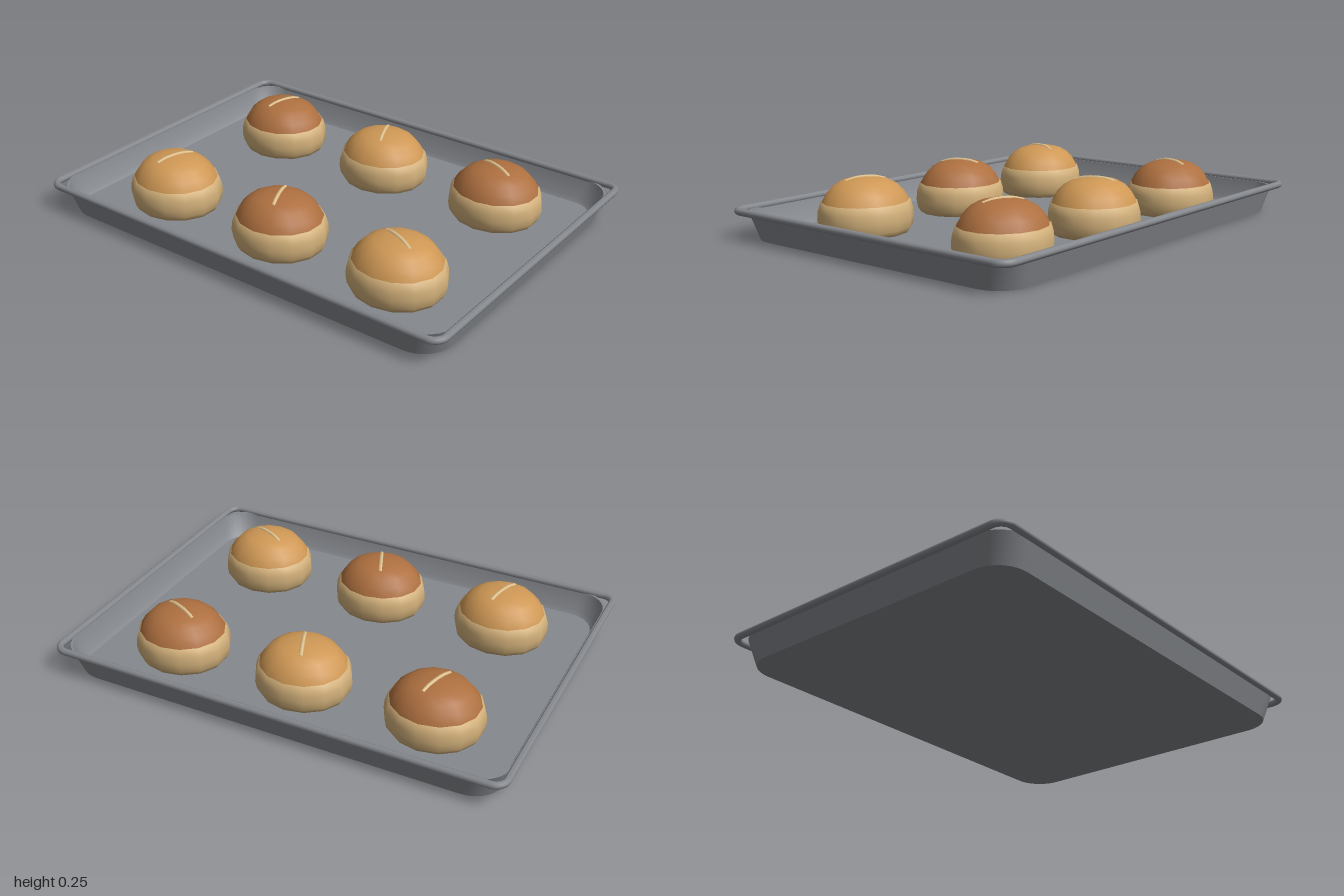
import * as THREE from 'three';
import { toCreasedNormals } from 'three/addons/utils/BufferGeometryUtils.js';

const material = (color) => new THREE.MeshStandardMaterial({ color });
const steel = material(0x85888d);
const paleDough = material(0xd2b07a);
const goldenCrust = material(0xcf9855);
const darkCrust = material(0xae7040);
const scoreDough = material(0xe2c490);

// Points around a rounded rectangle, running from +x towards +z
function roundedLoop([hx, hz, r, y], steps = 8) {
  const points = [];
  [[1, 1], [-1, 1], [-1, -1], [1, -1]].forEach(([sx, sz], corner) => {
    for (let i = 0; i <= steps; i++) {
      const a = (corner + i / steps) * Math.PI / 2;
      points.push([sx * (hx - r) + r * Math.cos(a), y, sz * (hz - r) + r * Math.sin(a)]);
    }
  });
  return points;
}

// Skin a list of rounded rectangles [halfX, halfZ, cornerRadius, y]
function loft(sections, crease) {
  const loops = sections.map((s) => roundedLoop(s));
  const n = loops[0].length;
  const index = [];
  for (let i = 0; i < loops.length - 1; i++) {
    for (let j = 0; j < n; j++) {
      const k = (j + 1) % n;
      const a = i * n + j, b = a + n, c = i * n + k, d = c + n;
      index.push(a, b, c, c, b, d);
    }
  }
  const geometry = new THREE.BufferGeometry();
  geometry.setAttribute('position', new THREE.Float32BufferAttribute(loops.flat(2), 3));
  geometry.setIndex(index);
  return toCreasedNormals(geometry, crease);
}

function addMesh(parent, name, geometry, mat) {
  const mesh = new THREE.Mesh(geometry, mat);
  mesh.name = name;
  parent.add(mesh);
  return mesh;
}

function lathe(profile) {
  return new THREE.LatheGeometry(profile.map(([r, y]) => new THREE.Vector2(r, y)), 14);
}

function makeBun(crust, scoreAngle) {
  const bun = new THREE.Group();
  bun.name = 'bun';

  // Pale lower half with a narrow shoulder under the crust
  const base = addMesh(bun, 'bunBase', lathe([
    [0, 0.012], [0.185, 0.012], [0.2, 0.035], [0.206, 0.07], [0.203, 0.105], [0.192, 0.14], [0.17, 0.145],
  ]), paleDough);

  // Browned dome
  const dome = addMesh(bun, 'bunCrust', lathe([
    [0.19, 0.13], [0.184, 0.147], [0.166, 0.177], [0.137, 0.207], [0.1, 0.227], [0.052, 0.238], [0, 0.242],
  ]), crust);
  base.scale.z = dome.scale.z = 0.92;

  // Score mark following the top of the dome
  const path = new THREE.CatmullRomCurve3([
    new THREE.Vector3(-0.085, 0.225, 0), new THREE.Vector3(-0.04, 0.237, 0),
    new THREE.Vector3(0.04, 0.237, 0), new THREE.Vector3(0.085, 0.225, 0),
  ]);
  const score = addMesh(bun, 'scoreMark', new THREE.TubeGeometry(path, 10, 0.009, 6), scoreDough);
  score.rotation.y = scoreAngle;
  return bun;
}

export function createModel() {
  const model = new THREE.Group();
  model.name = 'bunTray';

  // Pan: underside, sloped outer wall, lip, inner wall and floor
  addMesh(model, 'pan', loft([
    [0, 0, 0, 0],
    [0.945, 0.683, 0.13, 0],
    [0.975, 0.715, 0.13, 0.115],
    [0.966, 0.706, 0.125, 0.115],
    [0.945, 0.682, 0.125, 0.03],
    [0.93, 0.667, 0.12, 0.013],
    [0, 0, 0, 0.013],
  ], 0.6), steel);

  // Rolled wire rim, tighter at the corners than the pan
  const rimSections = [];
  for (let i = 0; i <= 10; i++) {
    const a = i / 10 * Math.PI * 2;
    const out = 0.015 * Math.cos(a);
    rimSections.push([0.985 + out, 0.717 + out, 0.05 + out, 0.117 + 0.015 * Math.sin(a)]);
  }
  addMesh(model, 'rolledRim', loft(rimSections, 1.2), steel);

  // Two rows of three buns in alternating bakes
  const scoreAngles = [1.3, -1.18, -0.42];
  [-0.37, 0.37].forEach((z, row) => {
    [-0.58, 0, 0.58].forEach((x, column) => {
      const bun = makeBun((row + column) % 2 ? goldenCrust : darkCrust, scoreAngles[column]);
      bun.position.set(x, 0, z);
      model.add(bun);
    });
  });
  return model;
}
